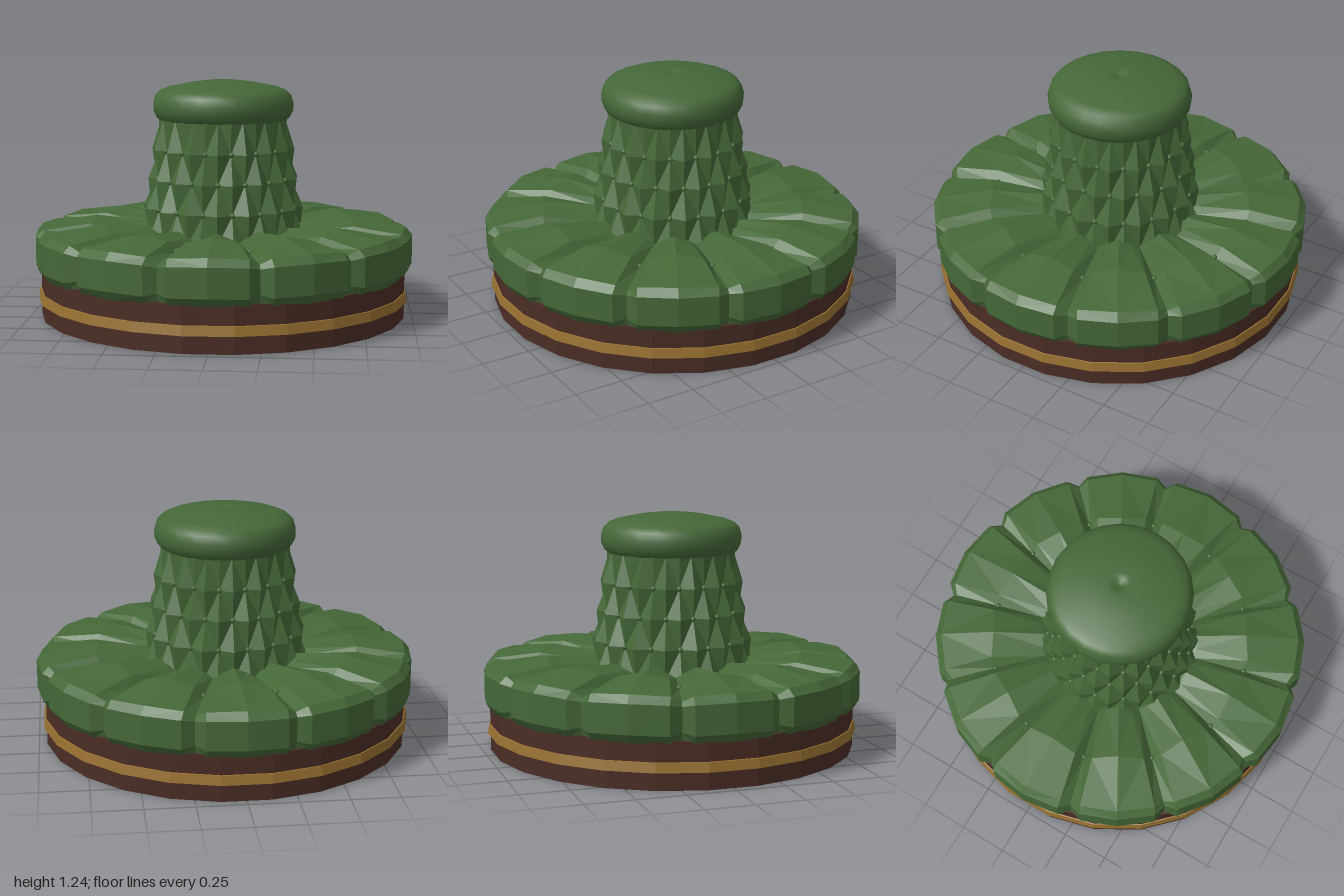
import * as THREE from 'three';
import { mergeGeometries } from 'three/addons/utils/BufferGeometryUtils.js';

const green = new THREE.MeshStandardMaterial({ color: 0x456838 });
green.name = 'green upholstery';
const brown = new THREE.MeshStandardMaterial({ color: 0x4a2d25 });
brown.name = 'dark wood';
const gold = new THREE.MeshStandardMaterial({ color: 0x966f30 });
gold.name = 'gold trim';

const rad = THREE.MathUtils.degToRad;
const polar = (r, y, deg) => [r * Math.sin(rad(deg)), y, r * Math.cos(rad(deg))];

// Faceted skin over closed rings, listed from the bottom outside to the top inside
function skin(rings, flip) {
  const pos = [];
  for (let i = 0; i < rings.length - 1; i++) {
    const n = rings[i].length;
    for (let j = 0; j < n; j++) {
      const k = (j + 1) % n;
      const a = rings[i][j], b = rings[i][k], c = rings[i + 1][k], d = rings[i + 1][j];
      const tris = flip(i, j) ? [a, b, d, b, c, d] : [a, b, c, a, c, d];
      for (const p of tris) pos.push(...p);
    }
  }
  const g = new THREE.BufferGeometry();
  g.setAttribute('position', new THREE.Float32BufferAttribute(pos, 3));
  g.computeVertexNormals();
  return g;
}

function flatLathe(points, segments, phase) {
  const g = new THREE.LatheGeometry(points.map(p => new THREE.Vector2(...p)), segments, phase).toNonIndexed();
  g.computeVertexNormals();
  return g;
}

// Seat: twelve puffed cushions parted by deep pleats
function seatGeometry() {
  // [crown r, crown y, pleat edge r, edge y, groove r, groove y, edge angle]
  const sections = [
    [0.90, 0.235, 0.90, 0.235, 0.90, 0.235, 11.5],
    [0.97, 0.23, 0.96, 0.23, 0.935, 0.235, 11.5],
    [1.00, 0.275, 0.99, 0.27, 0.95, 0.28, 11.5],
    [1.00, 0.425, 0.99, 0.42, 0.95, 0.405, 11.5],
    [0.965, 0.465, 0.955, 0.455, 0.93, 0.425, 11.8],
    [0.68, 0.51, 0.70, 0.485, 0.69, 0.435, 11.2],
    [0.41, 0.485, 0.42, 0.46, 0.42, 0.435, 9],
    [0.34, 0.45, 0.34, 0.44, 0.34, 0.42, 9],
  ];
  const rings = sections.map(([cr, cy, er, ey, gr, gy, e]) => {
    const ring = [];
    for (let s = 0; s < 12; s++) {
      const t = s * 30;
      ring.push(polar(gr, gy, t - 15), polar(er, ey, t - e), polar(cr, cy, t), polar(er, ey, t + e));
    }
    return ring;
  });
  return skin(rings, (i, j) => j % 4 < 2);
}

// Column: diamond tufting, deep at the buttons and puffed between them
const TUFTS = 16;
const rows = [[0.415, 0.445], [0.57, 0.422], [0.722, 0.396], [0.875, 0.376], [1.04, 0.34]];
const isButton = (i, j) => (i + j) % 2 === 0;
const tuftRadius = i => rows[i][1] - (i === 4 ? 0.015 : 0.04);
function columnGeometry() {
  const rings = rows.map(([y, r], i) => Array.from({ length: TUFTS * 2 }, (_, j) =>
    polar(isButton(i, j) ? tuftRadius(i) : r, y, j * 180 / TUFTS)));
  return skin(rings, (i, j) => !isButton(i, j));
}

function buttonGeometry() {
  const buttons = [];
  const add = p => buttons.push(new THREE.SphereGeometry(0.014, 8, 6).translate(...p));
  for (let i = 1; i < 4; i++)
    for (let j = 0; j < TUFTS * 2; j++)
      if (isButton(i, j)) add(polar(tuftRadius(i) + 0.003, rows[i][0], j * 180 / TUFTS));
  for (let s = 0; s < 12; s++) add(polar(0.69, 0.44, s * 30 + 15));
  return mergeGeometries(buttons);
}

export function createModel() {
  const model = new THREE.Group();
  model.name = 'roundSettee';
  const add = (name, geometry, material) => {
    const mesh = new THREE.Mesh(geometry, material);
    mesh.name = name;
    model.add(mesh);
  };

  // Wooden plinth with its trim band
  const phase = rad(7.5);
  add('plinth', flatLathe([[0, 0], [0.965, 0], [0.965, 0.24], [0, 0.24]], 24, phase), brown);
  add('trimBand', flatLathe([[0.955, 0.085], [0.98, 0.09], [0.971, 0.138], [0.955, 0.142]], 24, phase), gold);

  // Upholstery
  add('seat', seatGeometry(), green);
  add('column', columnGeometry(), green);
  add('buttons', buttonGeometry(), green);

  // Rounded cap cushion with a central dimple
  const cap = [[0, 1.03], [0.335, 1.03], [0.335, 1.03], [0.35, 1.04], [0.368, 1.075], [0.37, 1.115], [0.358, 1.155],
    [0.335, 1.18], [0.29, 1.198], [0.17, 1.222], [0.06, 1.235], [0.035, 1.222], [0, 1.214]];
  add('cap', new THREE.LatheGeometry(cap.map(p => new THREE.Vector2(...p)), 24), green);
  return model;
}
